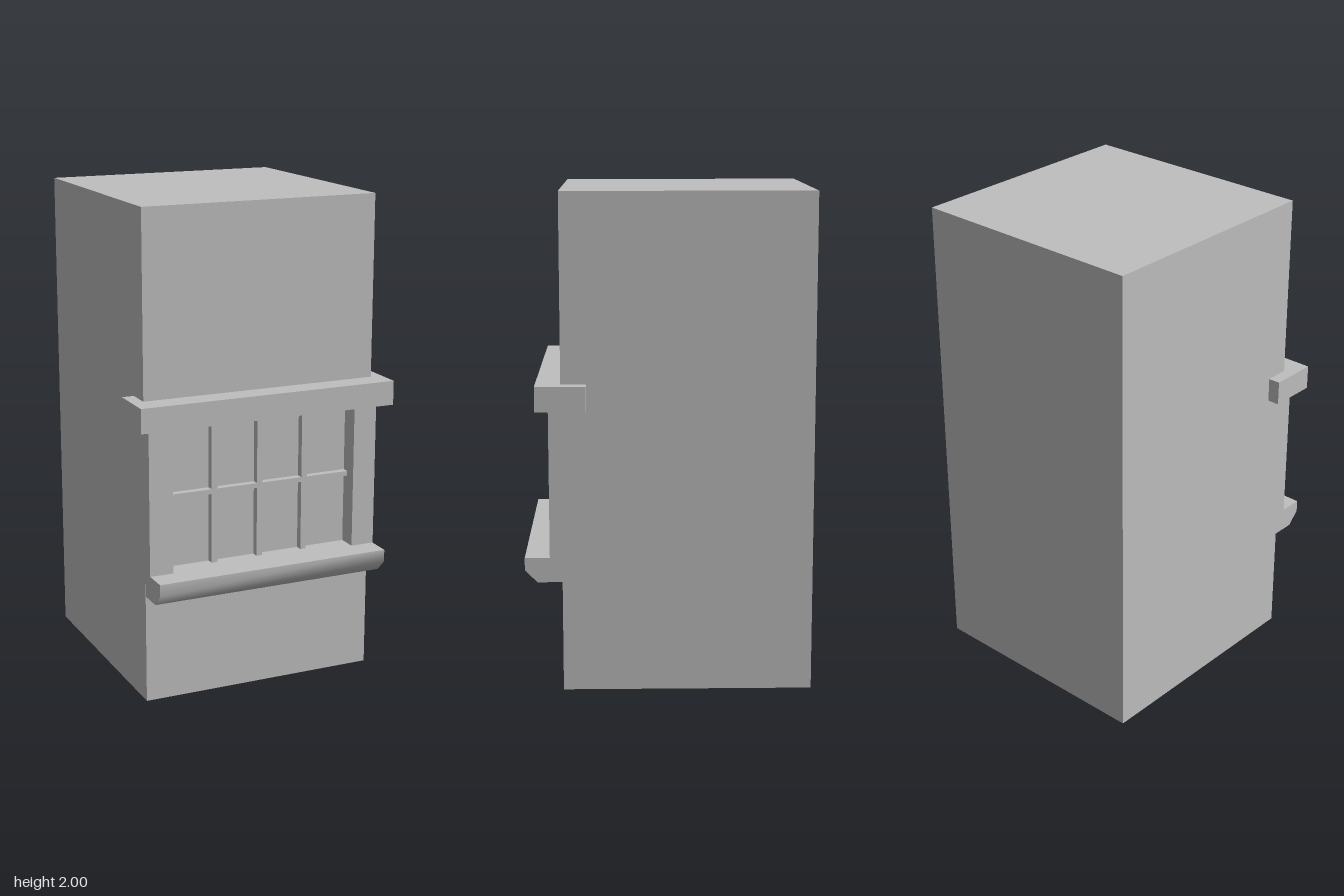
import * as THREE from 'three';
import { mergeGeometries, toCreasedNormals } from 'three/addons/utils/BufferGeometryUtils.js';

const FRONT = 0.425, BACK = -0.575, GLASS = 0.395;

export function createModel() {
  const model = new THREE.Group();
  model.name = 'windowBlock';
  const stone = new THREE.MeshStandardMaterial({ color: 0xbfbfbf });
  stone.name = 'grey stone';

  const add = (name, geometry) => {
    const mesh = new THREE.Mesh(geometry, stone);
    mesh.name = name;
    model.add(mesh);
  };
  // Box given by its limits on each axis
  const box = (x0, x1, y0, y1, z0, z1) =>
    new THREE.BoxGeometry(x1 - x0, y1 - y0, z1 - z0)
      .translate((x0 + x1) / 2, (y0 + y1) / 2, (z0 + z1) / 2);
  // Removes one side of a box (six indices per side)
  const dropSide = (geometry, side) => {
    const index = Array.from(geometry.index.array);
    index.splice(side * 6, 6);
    geometry.setIndex(index);
    geometry.clearGroups();
    return geometry;
  };

  // Wall block: five sides, plus a front face with the window opening
  const face = new THREE.Shape([[-0.5, 0], [0.5, 0], [0.5, 2], [-0.5, 2]].map(p => new THREE.Vector2(...p)));
  face.holes.push(new THREE.Path([[-0.4, 0.55], [-0.4, 1.15], [0.4, 1.15], [0.4, 0.55]].map(p => new THREE.Vector2(...p))));
  const shell = dropSide(box(-0.5, 0.5, 0, 2, BACK, FRONT), 4);
  const frontFace = new THREE.ShapeGeometry(face).translate(0, 0, FRONT);
  add('wall', mergeGeometries([shell, frontFace]));

  // Window recess: a box turned inside out, open to the front
  const recess = dropSide(new THREE.BoxGeometry(0.8, 0.6, FRONT - GLASS).scale(1, 1, -1), 5);
  recess.computeVertexNormals();
  add('windowRecess', recess.translate(0, 0.85, (FRONT + GLASS) / 2));

  // Glazing bars, flush with the wall
  for (const x of [-0.2, 0, 0.2]) add('verticalBar', box(x - 0.0125, x + 0.0125, 0.55, 1.15, GLASS, FRONT));
  for (const x of [-0.4, -0.1875, 0.0125, 0.2125]) {
    const end = x === -0.4 ? -0.2125 : x === 0.2125 ? 0.4 : x + 0.175;
    add('horizontalBar', box(x, end, 0.84, 0.86, GLASS, FRONT));
  }

  // Jambs on both sides and the lintel above
  add('leftJamb', box(0.4, 0.5, 0.55, 1.15, FRONT, 0.475));
  add('rightJamb', box(-0.5, -0.4, 0.55, 1.15, FRONT, 0.475));
  add('lintel', box(-0.55, 0.55, 1.15, 1.25, 0.325, 0.525));

  // Sill with a softly shaded chamfer under its nose
  const profile = new THREE.Shape(
    [[FRONT, 0.45], [0.525, 0.45], [0.575, 0.5], [0.575, 0.55], [FRONT, 0.55]].map(p => new THREE.Vector2(...p)));
  const sill = new THREE.ExtrudeGeometry(profile, { depth: 0.998, bevelEnabled: false })
    .rotateY(-Math.PI / 2).translate(0.499, 0, 0);
  add('sill', toCreasedNormals(sill, 0.9));

  return model;
}
